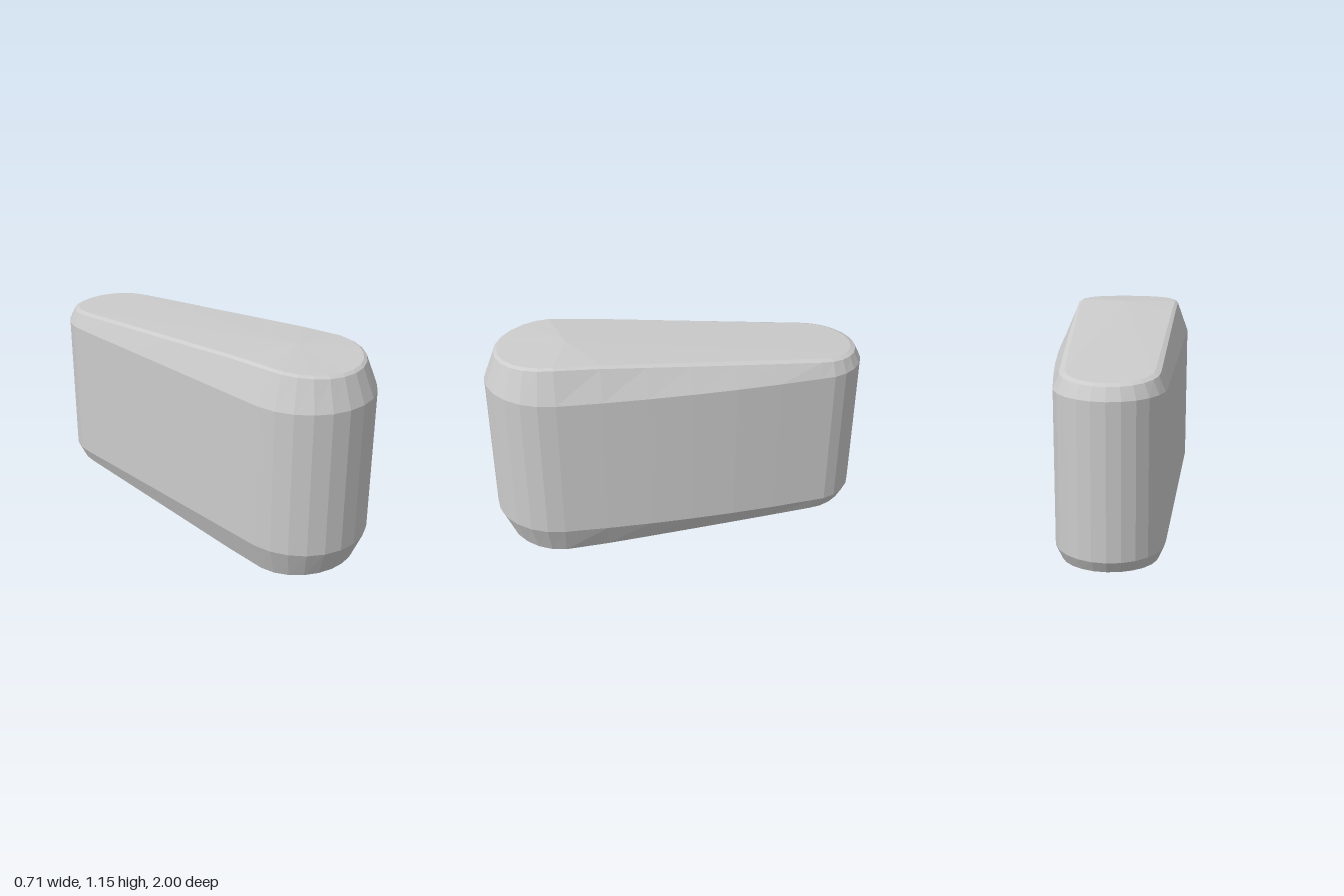
import * as THREE from 'three';

const HEIGHT = 1.146;
const ARC = 12;   // facets on each rounded end
const SIDE = 6;   // segments along each long side

// Closed tapered outline (x, z): wide round front, narrow round back, bulge on the +x side
function outline(rFront, rBack, bulge) {
  const zf = 0.645, zb = -0.73, pts = [];
  for (let i = 0; i <= ARC; i++) {
    const a = Math.PI * i / ARC;
    pts.push([-rFront * Math.cos(a), zf + rFront * Math.sin(a)]);
  }
  for (let i = 1; i < SIDE; i++) {
    const t = i / SIDE;
    pts.push([THREE.MathUtils.lerp(rFront, rBack, t) + bulge * 4 * t * (1 - t), THREE.MathUtils.lerp(zf, zb, t)]);
  }
  for (let i = 0; i <= ARC; i++) {
    const a = Math.PI * i / ARC;
    pts.push([rBack * Math.cos(a), zb - rBack * Math.sin(a)]);
  }
  for (let i = 1; i < SIDE; i++) {
    const t = i / SIDE;
    pts.push([-THREE.MathUtils.lerp(rBack, rFront, t), THREE.MathUtils.lerp(zb, zf, t)]);
  }
  return pts;
}

// Height of the top rim: slopes down to the back, dips slightly at the front
function rimHeight(z) {
  if (z > 0.57) return 1.127 - 0.02 * ((z - 0.57) / 0.365) ** 2;
  return THREE.MathUtils.lerp(1.02, 1.127, (z + 0.965) / 1.535);
}

function bodyGeometry() {
  const outer = outline(0.355, 0.27, 0.025).map(([x, z]) => [x, 0.96, z]);
  const rim = outline(0.295, 0.238, 0.004).map(([x, z]) => [x, rimHeight(z), z]);
  const lip = outline(0.278, 0.212, 0.002).map(([x, z]) => [x, rimHeight(z) + 0.01, z]);
  const flip = ring => ring.map(([x, y, z]) => [x, HEIGHT - y, z]);
  const rings = [flip(lip), flip(rim), flip(outer), outer, rim, lip];
  const n = outer.length;
  const positions = rings.flat(2);
  const index = [];

  // Walls and chamfers
  for (let r = 0; r < rings.length - 1; r++) {
    for (let i = 0; i < n; i++) {
      const a = r * n + i, b = r * n + (i + 1) % n;
      index.push(a, b, b + n, a, b + n, a + n);
    }
  }
  // Shallow peaked caps
  const bottom = rings.length * n, top = bottom + 1, last = (rings.length - 1) * n;
  positions.push(0.02, 0, 0.57, 0.02, HEIGHT, 0.57);
  for (let i = 0; i < n; i++) {
    const j = (i + 1) % n;
    index.push(bottom, j, i, top, last + i, last + j);
  }

  const geometry = new THREE.BufferGeometry();
  geometry.setAttribute('position', new THREE.Float32BufferAttribute(positions, 3));
  geometry.setIndex(index);
  geometry.computeVertexNormals();
  return geometry;
}

export function createModel() {
  const group = new THREE.Group();
  group.name = 'taperedBlock';
  const material = new THREE.MeshStandardMaterial({ color: 0xcccccc, flatShading: true });
  const body = new THREE.Mesh(bodyGeometry(), material);
  body.name = 'body';
  group.add(body);
  return group;
}
